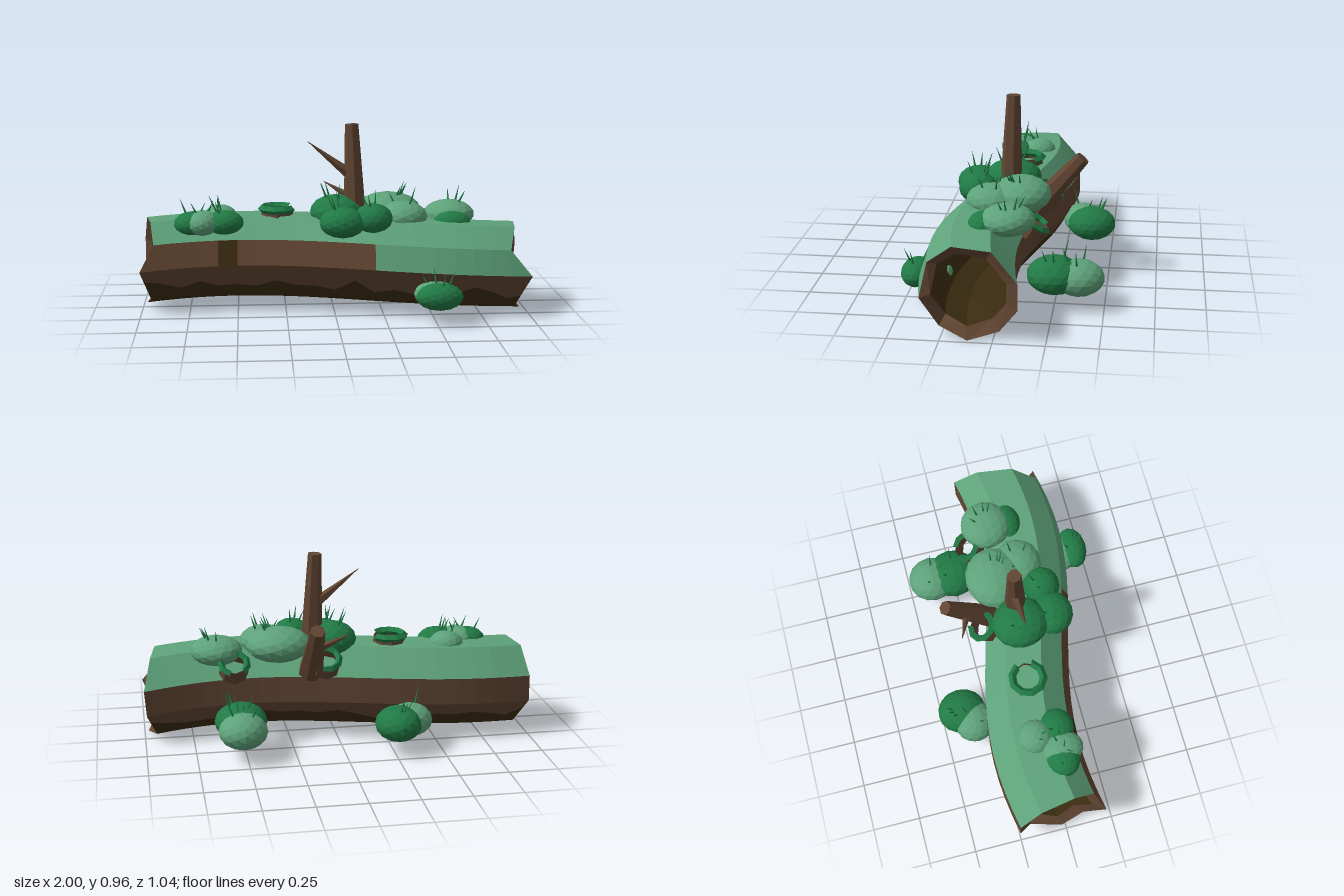
import * as THREE from 'three';

const make = (name, color, side = THREE.FrontSide) => {
  const m = new THREE.MeshStandardMaterial({ color, side });
  m.name = name;
  return m;
};

export function createModel() {
  const model = new THREE.Group();
  model.name = 'mossyHollowLog';
  const bark = make('bark', 0x614532, THREE.DoubleSide);
  const wood = make('darkWood', 0x3a2b10);
  const moss = make('moss', 0x5ea27a);
  const leaf = make('deepGreen', 0x217a45);

  let seed = 7;
  const rand = () => (seed = (seed * 16807) % 2147483647) / 2147483647;
  const V = (x, y, z) => new THREE.Vector3(x, y, z);

  // Facetted mesh from any geometry
  const add = (name, geo, mat, parent = model) => {
    const g = geo.index ? geo.toNonIndexed() : geo;
    g.computeVertexNormals();
    const mesh = new THREE.Mesh(g, mat);
    mesh.name = name;
    parent.add(mesh);
    return mesh;
  };

  // Log cross-section: corner angles from the top towards the front, radii, end lengths
  const angles = [-70, -25, 22, 60, 92, 140, 175, 215, 255];
  const radii = [0.23, 0.235, 0.235, 0.235, 0.245, 0.235, 0.225, 0.235, 0.225];
  const rightEnd = [1, 0.96, 0.93, 0.89, 1, 0.93, 0.98, 0.94, 0.99];
  const leftEnd = [1, 0.98, 0.95, 0.93, 1, 0.95, 0.98, 0.94, 1];
  const corner = (u, k, s) => {
    k %= 9;
    const end = (u > 0 ? rightEnd : leftEnd)[k] - (s < 1 ? 0.04 : 0);
    const x = u - Math.sign(u) * (1 - end) * Math.pow(Math.abs(u), 8);
    const a = THREE.MathUtils.degToRad(angles[k]);
    const r = radii[k] * s;
    return V(x, 0.275 - 0.035 * x * x - 0.01 * x + r * Math.cos(a),
      0.03 + 0.11 * Math.sin(2.5 * x) + r * Math.sin(a));
  };
  // k may be fractional, which gives a point along a side
  const point = (u, k, s = 1) => {
    const f = Math.floor(k);
    return corner(u, f, s).lerp(corner(u, f + 1, s), k - f);
  };

  const faces = { outerBark: [], underside: [], mossCover: [], hollow: [], brokenRim: [] };
  const quad = (part, a, b, c, d) => {
    for (const p of [a, b, c, a, c, d]) faces[part].push(p.x, p.y, p.z);
  };

  // Outer shell with ragged bark edges, and the hollow inside
  const cols = 20;
  const rows = Array.from({ length: cols + 1 }, () =>
    [0, 1, 2, 3, 4, 4.35 + 0.45 * rand(), 5, 6, 7, 7.2 + 0.5 * rand(), 8, 9]);
  for (let i = 0; i < cols; i++) {
    const u = -1 + i / 10, v = -1 + (i + 1) / 10;
    for (let j = 0; j < 11; j++) {
      let part = j < 3 ? 'mossCover' : j > 4 && j < 9 ? 'underside' : 'outerBark';
      if (j === 3 && i >= 12) part = 'mossCover';
      if (j === 3 && i === 4) part = 'underside';
      quad(part, point(u, rows[i][j]), point(u, rows[i][j + 1]),
        point(v, rows[i + 1][j + 1]), point(v, rows[i + 1][j]));
    }
    for (let k = 0; k < 9; k++) {
      quad('hollow', point(u, k, 0.77), point(v, k, 0.77), point(v, k + 1, 0.77), point(u, k + 1, 0.77));
    }
  }
  // Splintered rims at both ends
  for (let k = 0; k < 9; k++) {
    quad('brokenRim', point(1, k), point(1, k + 1), point(1, k + 1, 0.77), point(1, k, 0.77));
    quad('brokenRim', point(-1, k + 1), point(-1, k), point(-1, k, 0.77), point(-1, k + 1, 0.77));
  }
  const partMaterial = { outerBark: bark, underside: wood, mossCover: moss, hollow: wood, brokenRim: bark };
  for (const [name, list] of Object.entries(faces)) {
    const g = new THREE.BufferGeometry();
    g.setAttribute('position', new THREE.Float32BufferAttribute(list, 3));
    add(name, g, partMaterial[name]);
  }

  // Tapered limb between two points
  const limb = (name, from, to, r0, r1, sides, mat) => {
    const dir = to.clone().sub(from);
    const m = add(name, new THREE.CylinderGeometry(r1, r0, dir.length(), sides), mat);
    m.position.copy(from).add(to).multiplyScalar(0.5);
    m.quaternion.setFromUnitVectors(V(0, 1, 0), dir.normalize());
  };
  limb('uprightBranch', V(0.12, 0.44, 0.01), V(0.1, 0.97, 0), 0.062, 0.036, 7, bark);
  limb('uprightTwig', V(0.1, 0.7, 0), V(-0.13, 0.88, 0), 0.032, 0.001, 5, bark);
  limb('leaningBranch', V(0.14, 0.37, -0.11), V(0.14, 0.66, -0.36), 0.065, 0.038, 7, bark);
  limb('leaningTwig', V(0.13, 0.53, -0.25), V(-0.03, 0.62, -0.31), 0.026, 0.001, 5, bark);

  // Leafy clumps: material, centre, radii, number of grass blades
  const clumps = [
    [leaf, -0.73, 0.46, 0.04, 0.1, 0.065, 0.09, 2],
    [moss, -0.68, 0.465, 0.05, 0.09, 0.066, 0.11, 2],
    [leaf, -0.565, 0.465, 0.05, 0.1, 0.065, 0.09, 3],
    [moss, -0.59, 0.475, -0.07, 0.09, 0.065, 0.09, 2],
    [leaf, 0.02, 0.51, 0.01, 0.14, 0.09, 0.15, 4],
    [leaf, 0.04, 0.485, 0.19, 0.12, 0.08, 0.11, 3],
    [leaf, 0.2, 0.5, 0.17, 0.1, 0.08, 0.1, 3],
    [moss, 0.3, 0.51, -0.06, 0.17, 0.09, 0.155, 4],
    [moss, 0.36, 0.495, 0.08, 0.13, 0.08, 0.13, 3],
    [moss, 0.62, 0.485, -0.03, 0.135, 0.075, 0.135, 4],
    [leaf, 0.62, 0.455, 0.09, 0.1, 0.065, 0.075, 0],
    [leaf, -0.27, 0.16, -0.39, 0.12, 0.09, 0.13, 3],
    [moss, -0.34, 0.16, -0.34, 0.115, 0.085, 0.11, 2],
    [leaf, 0.52, 0.17, -0.25, 0.135, 0.095, 0.14, 3],
    [moss, 0.52, 0.16, -0.37, 0.125, 0.09, 0.13, 4],
    [leaf, 0.51, 0.15, 0.44, 0.12, 0.07, 0.08, 3],
    [moss, 0.5, 0.145, 0.36, 0.11, 0.065, 0.1, 1],
  ];
  for (const [mat, x, y, z, rx, ry, rz, blades] of clumps) {
    const m = add('leafyClump', new THREE.IcosahedronGeometry(1, 2), mat);
    m.position.set(x, y, z);
    m.scale.set(rx, ry, rz);
    m.rotation.y = rx === rz ? rand() * 6 : 0;
    for (let b = 0; b < blades; b++) {
      const a = rand() * Math.PI * 2, c = Math.cos(a), s = Math.sin(a);
      const base = V(x + c * rx * 0.4, y + ry * 0.85, z + s * rz * 0.4);
      const tip = base.clone().add(V(c * 0.03, 0.05 + 0.035 * rand(), s * 0.03));
      limb('grassBlade', base, tip, 0.006, 0.0005, 4, leaf);
    }
  }

  // Broken knots with a mossy open ring on the lip
  const knot = (x, y, z, tilt, size, turn) => {
    const g = new THREE.Group();
    g.name = 'hollowKnot';
    add('knotWall', new THREE.CylinderGeometry(0.085, 0.095, 0.1, 8, 1, true), bark, g);
    const lip = add('mossyLip', new THREE.TorusGeometry(0.086, 0.022, 4, 8, 5.3), leaf, g);
    lip.rotation.set(-Math.PI / 2, 0, turn);
    lip.position.y = 0.045;
    g.position.set(x, y, z);
    g.rotation.x = tilt;
    g.scale.setScalar(size);
    model.add(g);
  };
  knot(-0.29, 0.48, -0.03, 0, 0.95, 0.5);
  knot(0.07, 0.43, -0.17, -0.6, 0.8, 1.2);
  knot(0.54, 0.42, -0.14, -0.6, 0.8, 2.2);

  return model;
}
